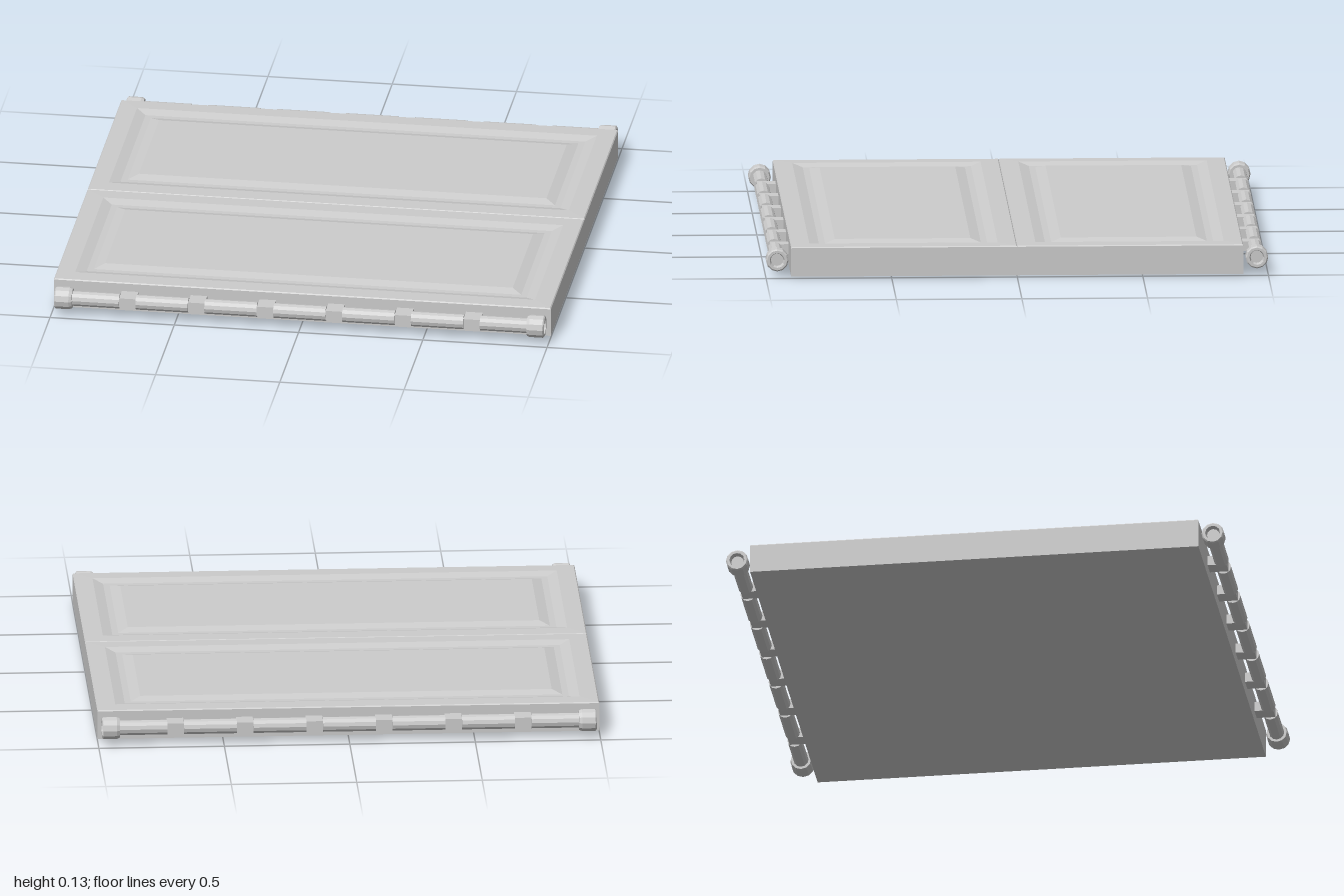
import * as THREE from 'three';

const material = new THREE.MeshStandardMaterial({ color: 0xcccccc, flatShading: true });
const HINGE_Y = 0.07, HINGE_Z = 0.955;

function addMesh(parent, name, geometry, x = 0, y = 0, z = 0) {
  const mesh = new THREE.Mesh(geometry, material);
  mesh.name = name;
  mesh.position.set(x, y, z);
  parent.add(mesh);
  return mesh;
}

// Closed solid of nested rectangles; each profile entry is [inset, height],
// running from the middle of the underside, round the edge, to the top.
function nestedRectangles(halfX, halfZ, profile) {
  const positions = [];
  const rings = profile.map(([d, y]) => {
    const a = halfX - d, b = halfZ - d;
    return [[-a, y, b], [a, y, b], [a, y, -b], [-a, y, -b]];
  });
  const quad = (a, b, c, d) => positions.push(...a, ...b, ...c, ...a, ...c, ...d);
  for (let i = 0; i < rings.length - 1; i++) {
    const lo = rings[i], hi = rings[i + 1];
    for (let k = 0; k < 4; k++) {
      const n = (k + 1) % 4;
      quad(lo[k], lo[n], hi[n], hi[k]);
    }
  }
  const bottom = rings[0], top = rings[rings.length - 1];
  quad(bottom[3], bottom[2], bottom[1], bottom[0]);
  quad(top[0], top[1], top[2], top[3]);
  const geometry = new THREE.BufferGeometry();
  geometry.setAttribute('position', new THREE.Float32BufferAttribute(positions, 3));
  geometry.computeVertexNormals();
  return geometry;
}

// Lathe about the x axis; each point is [radius, x]
function turned(points) {
  const geometry = new THREE.LatheGeometry(points.map(([r, x]) => new THREE.Vector2(r, x)), 12);
  return geometry.rotateZ(-Math.PI / 2);
}

function createHinge() {
  const hinge = new THREE.Group();
  hinge.name = 'hinge';

  addMesh(hinge, 'pin', turned([[0, -0.93], [0.02, -0.93], [0.02, 0.93], [0, 0.93]]));

  // Barrels with lugs in the gaps between them
  const pitch = 0.277;
  const barrel = turned([[0, -0.105], [0.03, -0.105], [0.03, 0.105], [0, 0.105]]);
  for (let i = -3; i <= 3; i++) addMesh(hinge, 'barrel', barrel, i * pitch);
  const lug = new THREE.BoxGeometry(0.067, 0.04, 0.08);
  for (let i = -3; i < 3; i++) addMesh(hinge, 'lug', lug, (i + 0.5) * pitch, 0, -0.02);

  // End caps with a bevelled shoulder and a recessed end
  const cap = turned([
    [0.03, 0], [0.04, 0], [0.045, 0.012], [0.045, 0.065], [0.04, 0.07],
    [0.03, 0.07], [0.025, 0.05], [0, 0.05],
  ]);
  for (const side of [1, -1]) {
    const mesh = addMesh(hinge, 'endCap', cap, side * 0.915);
    if (side < 0) mesh.rotation.y = Math.PI;
  }
  return hinge;
}

export function createModel() {
  const model = new THREE.Group();
  model.name = 'hingedPanel';

  // Two halves: moulding sunk in the top, standing proud underneath
  const half = nestedRectangles(1, 0.45, [
    [0.18, 0.007], [0.14, 0], [0.115, 0], [0.075, 0.007],
    [0, 0.007], [0, 0.122], [0.004, 0.126], [0.075, 0.127],
    [0.115, 0.116], [0.14, 0.116], [0.18, 0.127],
  ]);
  for (const side of [1, -1]) {
    addMesh(model, side > 0 ? 'frontPanel' : 'backPanel', half, 0, 0, side * 0.45);

    const hinge = createHinge();
    hinge.name = side > 0 ? 'frontHinge' : 'backHinge';
    hinge.position.set(0, HINGE_Y, side * HINGE_Z);
    if (side < 0) hinge.rotation.y = Math.PI;
    model.add(hinge);
  }
  return model;
}
